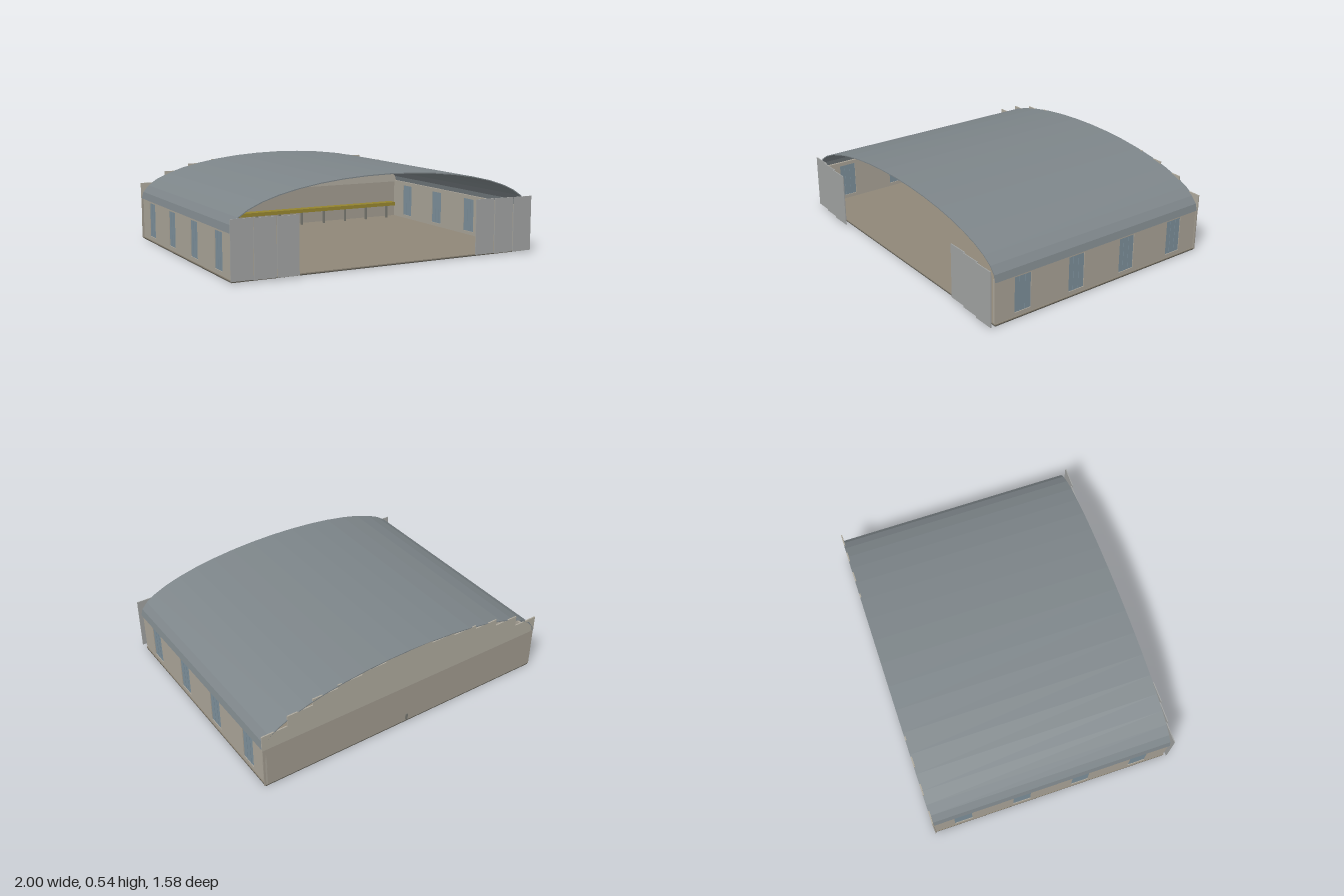
import * as THREE from 'three';

const ZF = 0.75, ZB = -0.79, DEPTH = ZF - ZB, ZMID = (ZF + ZB) / 2;
const EAVE = 0.27, RISE = 0.27;

const mat = (color, opts = {}) => new THREE.MeshStandardMaterial({ color, ...opts });

export function createModel() {
  const hangar = new THREE.Group();
  hangar.name = 'hangar';
  const roofMat = mat(0x7d8589, { flatShading: true });
  const wallMat = mat(0xaaa498);
  const backMat = mat(0xa09a8e);
  const gableMat = mat(0xaea99d);
  const floorMat = mat(0x8f8778);
  const baseMat = mat(0x5a574e);
  const doorMat = mat(0xa0a2a1);
  const glassMat = mat(0x7d909b);
  const yellowMat = mat(0x94842f);
  const steelMat = mat(0x777770);

  // Box given by its minimum and maximum corners
  function box(name, a, b, material, parent = hangar) {
    const size = a.map((v, i) => b[i] - v);
    const mesh = new THREE.Mesh(new THREE.BoxGeometry(...size), material);
    mesh.position.set(...a.map((v, i) => (v + b[i]) / 2));
    mesh.name = name;
    parent.add(mesh);
    return mesh;
  }

  // Floor slab
  box('foundation', [-0.99, 0, ZB], [0.99, 0.006, ZF], baseMat);
  box('floor', [-0.99, 0.006, ZB], [0.99, 0.012, ZF], floorMat);

  // Arched roof shell: half an ellipse with a small thickness
  const arc = (a, b) => Array.from({ length: 21 }, (_, i) => {
    const t = Math.PI * i / 20;
    return new THREE.Vector2(a * Math.cos(t), EAVE + b * Math.sin(t));
  });
  const shell = new THREE.Shape([...arc(0.997, RISE), ...arc(0.989, RISE - 0.006).reverse()]);
  const roof = new THREE.Mesh(
    new THREE.ExtrudeGeometry(shell, { depth: DEPTH, bevelEnabled: false }), roofMat);
  roof.position.z = ZB;
  roof.name = 'roof';
  hangar.add(roof);

  // Side walls with recessed windows
  const bay = DEPTH / 4, halfW = 0.057, sill = 0.035, head = 0.255;
  const centres = [0, 1, 2, 3].map(i => ZB + bay * (i + 0.5));
  for (const [side, s] of [['left', 1], ['right', -1]]) {
    const outline = new THREE.Shape([[-ZF, 0.01], [-ZB, 0.01], [-ZB, EAVE + 0.01], [-ZF, EAVE + 0.01]]
      .map(p => new THREE.Vector2(...p)));
    for (const z of centres) {
      outline.holes.push(new THREE.Path([[-z - halfW, sill], [-z - halfW, head], [-z + halfW, head], [-z + halfW, sill]]
        .map(p => new THREE.Vector2(...p))));
    }
    const wall = new THREE.Mesh(
      new THREE.ExtrudeGeometry(outline, { depth: 0.014, bevelEnabled: false }), wallMat);
    wall.rotation.y = Math.PI / 2;
    wall.position.x = s > 0 ? 0.971 : -0.985;
    wall.name = side + 'Wall';
    hangar.add(wall);
    for (const z of centres) {
      const win = new THREE.Group();
      win.name = side + 'Window';
      hangar.add(win);
      const x = s * 0.978;
      box('pane', [x - 0.002, sill, z - halfW], [x + 0.002, head, z + halfW], glassMat, win);
      for (const k of [-1, 1]) {
        const zm = z + k * halfW / 3;
        box('mullion', [x - 0.004, sill, zm - 0.002], [x + 0.004, head, zm + 0.002], glassMat, win);
      }
    }
  }

  // Back wall, with a gable of panels stepped along the roof curve
  box('backWall', [-0.997, 0.006, ZB], [0.997, EAVE, ZB + 0.008], backMat);
  const tops = [0.535, 0.522, 0.507, 0.485, 0.442, 0.372];
  const step = 1 / 6;
  tops.forEach((top, i) => {
    for (const s of [-1, 1]) {
      const x0 = s > 0 ? i * step : -(i + 1) * step;
      box('gablePanel', [x0, EAVE, ZB], [x0 + step, top, ZB + 0.008], gableMat);
    }
  });
  // Small post through the middle of the back wall
  box('backPost', [-0.008, 0.012, ZB - 0.004], [0.008, 0.055, ZB + 0.03], steelMat);

  // Sliding door leaves, three a side, each on its own track
  for (const [side, start] of [['right', -1], ['left', 0.6]]) {
    const doors = new THREE.Group();
    doors.name = side + 'Door';
    hangar.add(doors);
    const w = 0.4 / 3;
    for (let i = 0; i < 3; i++) {
      const x = start + i * w, z = 0.766 + i * 0.01;
      box('doorLeaf', [x, 0.01, z - 0.003], [x + w, 0.35, z + 0.003], doorMat, doors);
    }
  }

  // Long low bench on legs along the back wall
  const bench = new THREE.Group();
  bench.name = 'bench';
  hangar.add(bench);
  box('benchTop', [-0.93, 0.1, -0.77], [0.93, 0.125, -0.7], yellowMat, bench);
  for (let i = -5; i <= 5; i++) {
    const x = -0.02 + i * 0.176;
    box('benchLeg', [x - 0.006, 0.012, -0.72], [x + 0.006, 0.1, -0.705], steelMat, bench);
  }
  return hangar;
}
